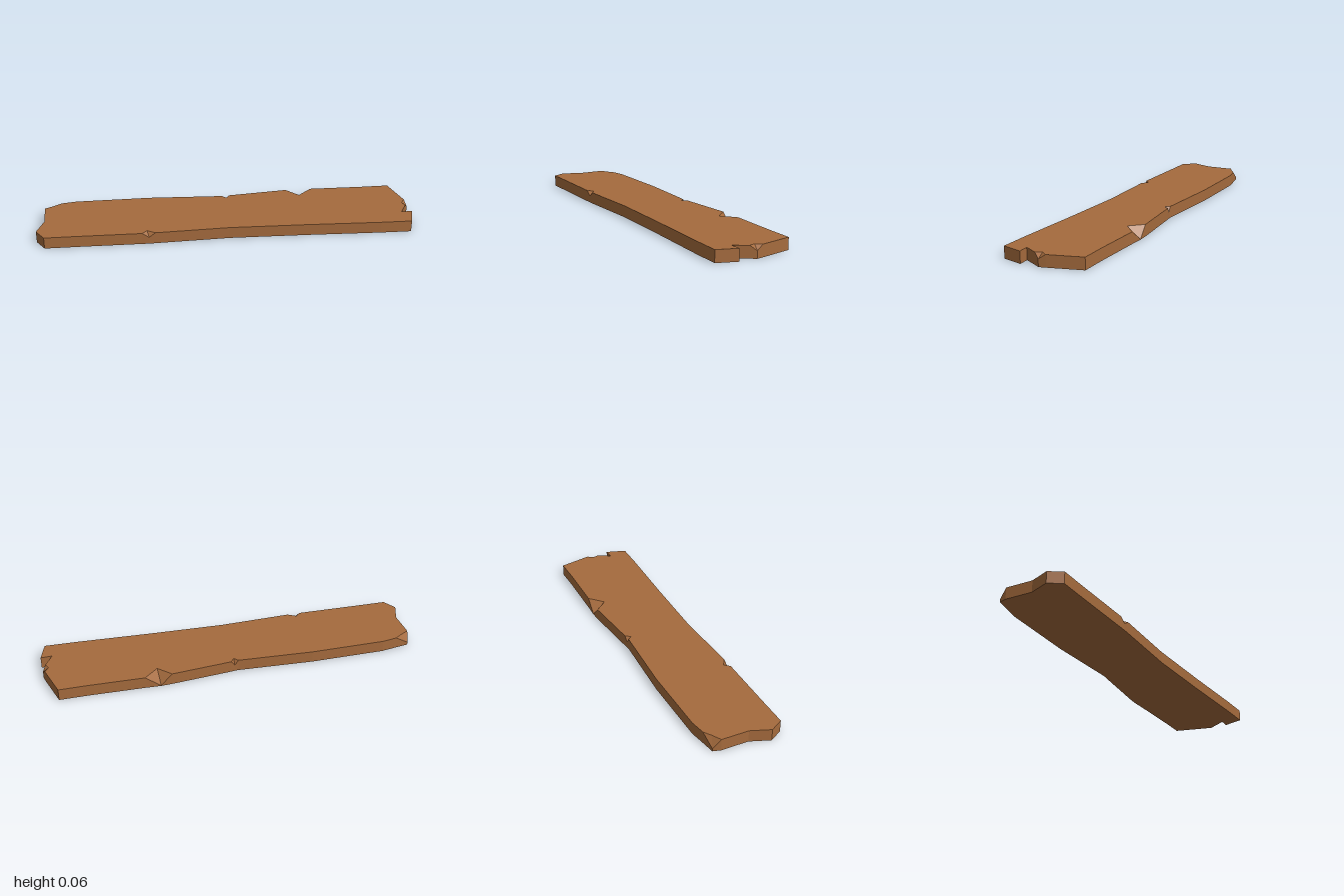
import * as THREE from 'three';

const H = 0.062; // plank thickness

// Worn outline, clockwise from above: [x, z] for a plain corner,
// [x, z, y, inX, inZ] for a chip broken inwards from the top edge down to height y.
const outline = [
  // back edge
  [-0.955, -0.18, 0.015, -0.92, -0.165],
  [-0.88, -0.191], [-0.8, -0.204], [-0.4, -0.204], [0.0, -0.18],
  [0.02, -0.181, 0.035, 0.02, -0.157], [0.04, -0.184],
  [0.36, -0.213], [0.42, -0.216, 0.002, 0.425, -0.145], [0.5, -0.212],
  [0.8, -0.204], [0.94, -0.204],
  // right end with its splintered notch
  [0.988, -0.027], [0.996, 0.008, 0.038, 0.965, 0.003], [0.978, 0.037],
  [0.937, 0.107], [0.997, 0.104], [0.965, 0.213],
  // front edge
  [0.8, 0.209], [0.4, 0.19], [0.0, 0.176],
  [-0.385, 0.187], [-0.42, 0.188, 0.038, -0.428, 0.16], [-0.455, 0.187],
  [-0.8, 0.18], [-0.957, 0.178],
  // left end
  [-1.0, 0.108], [-0.962, 0.005], [-0.966, -0.14],
];

function plankGeometry() {
  const pos = [];
  const tri = (...pts) => pts.forEach((p) => pos.push(...p));
  const quad = (a, b, c, d) => { tri(a, b, c); tri(a, c, d); };

  const rim = outline.map(([x, z, y = H]) => [x, y, z]);
  const base = outline.map(([x, z]) => [x, 0, z]);
  const top = outline.map(([x, z, , ix = x, iz = z]) => [ix, H, iz]);
  const n = outline.length;

  // Side walls and the facets of each chip
  for (let i = 0; i < n; i++) {
    const j = (i + 1) % n;
    quad(rim[i], rim[j], base[j], base[i]);
    if (outline[i].length > 2) {
      const before = top[(i + n - 1) % n];
      tri(before, top[i], rim[i]);
      tri(top[i], top[j], rim[i]);
    }
  }

  // Top and bottom caps
  const cap = (ring, flip) => {
    const flat = ring.map(([x, , z]) => new THREE.Vector2(x, -z));
    for (const [a, b, c] of THREE.ShapeUtils.triangulateShape(flat, [])) {
      if (flip) tri(ring[a], ring[c], ring[b]);
      else tri(ring[a], ring[b], ring[c]);
    }
  };
  cap(top, false);
  cap(base, true);

  const geometry = new THREE.BufferGeometry();
  geometry.setAttribute('position', new THREE.Float32BufferAttribute(pos, 3));
  geometry.computeVertexNormals(); // unshared corners give flat facets
  return geometry;
}

export function createModel() {
  const wood = new THREE.MeshStandardMaterial({ color: 0xa56b3d });
  wood.name = 'brown wood';
  const plank = new THREE.Mesh(plankGeometry(), wood);
  plank.name = 'plank';
  const group = new THREE.Group();
  group.name = 'wornPlank';
  group.add(plank);
  return group;
}
